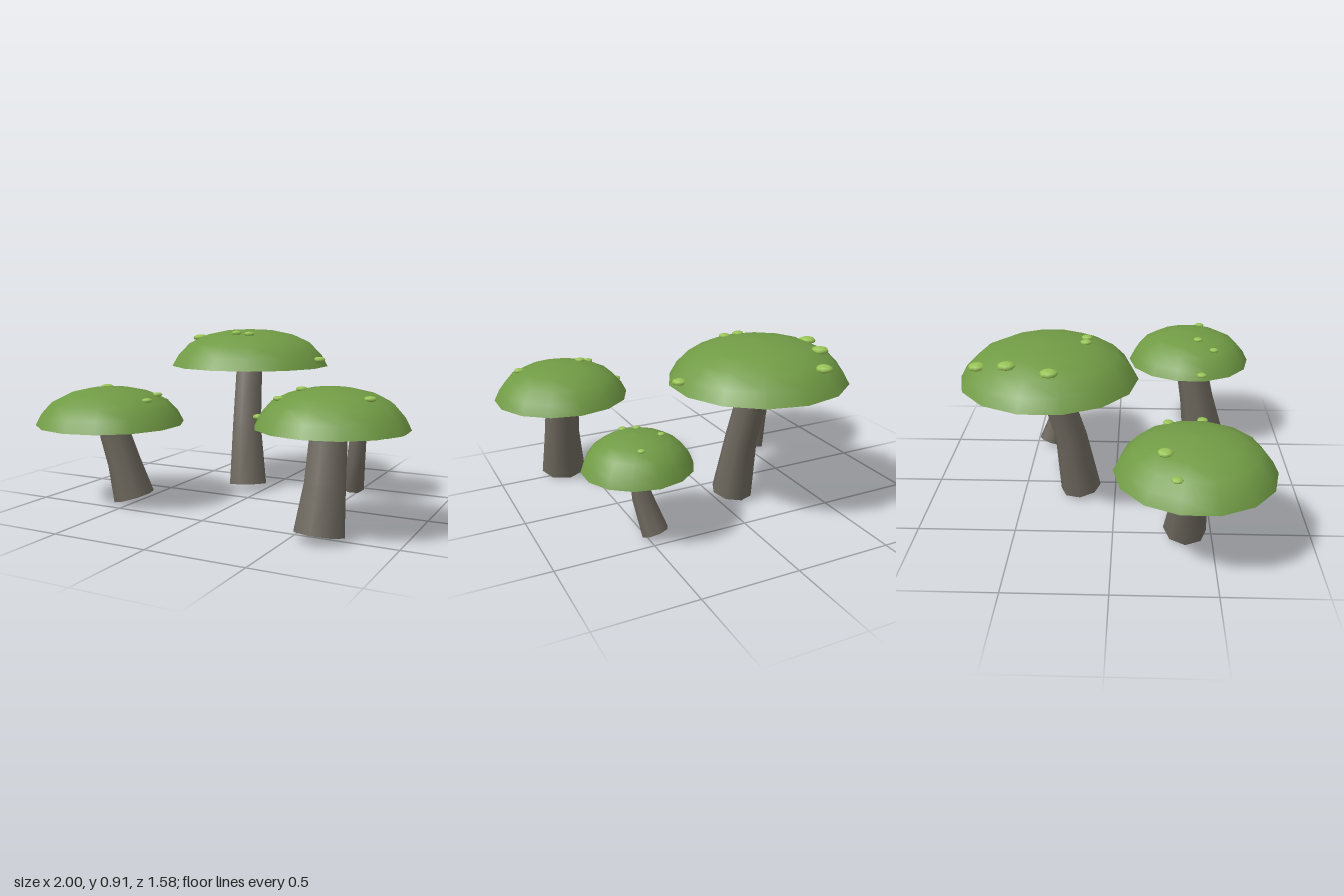
import * as THREE from 'three';

const mat = (name, color) => {
  const m = new THREE.MeshStandardMaterial({ color });
  m.name = name;
  return m;
};

// Cap outline as [radius, height] fractions, rim to crown
const PROFILE = [[1, 0], [0.92, 0.31], [0.78, 0.62], [0.56, 0.84], [0.29, 0.965], [0, 1]];
const CAP_SIDES = 14;

// Each mushroom: cap centre, radius, base and top; stem points [x, y, z, radius]; spots [x, z, radius]
const MUSHROOMS = [
  {
    name: 'tallMushroom', x: -0.155, z: -0.335, r: 0.457, y0: 0.705, y1: 0.912,
    stem: [[-0.095, 0.03, -0.19, 0.11], [-0.125, 0.36, -0.235, 0.085], [-0.157, 0.7, -0.33, 0.078]],
    spots: [[-0.315, -0.67, 0.045], [-0.4, -0.51, 0.045], [-0.47, -0.3, 0.045],
      [-0.145, -0.145, 0.03], [-0.065, -0.145, 0.03], [0.28, -0.33, 0.037]],
  },
  {
    name: 'leftLowMushroom', x: -0.62, z: 0.395, r: 0.39, y0: 0.43, y1: 0.622,
    stem: [[-0.502, 0.033, 0.365, 0.11], [-0.555, 0.22, 0.375, 0.088], [-0.615, 0.425, 0.395, 0.078]],
    spots: [[-0.91, 0.295, 0.027], [-0.755, 0.245, 0.038], [-0.405, 0.27, 0.027], [-0.355, 0.44, 0.028]],
  },
  {
    name: 'frontMushroom', x: 0.645, z: 0.425, r: 0.36, y0: 0.505, y1: 0.69,
    stem: [[0.632, 0.03, 0.53, 0.125], [0.64, 0.25, 0.487, 0.102], [0.638, 0.497, 0.44, 0.092]],
    spots: [[0.305, 0.485, 0.03], [0.515, 0.47, 0.028], [0.44, 0.56, 0.027], [0.85, 0.5, 0.029]],
  },
  {
    name: 'smallMushroom', x: 0.515, z: -0.35, r: 0.275, y0: 0.36, y1: 0.532,
    stem: [[0.46, 0.025, -0.417, 0.07], [0.5, 0.2, -0.358, 0.053], [0.515, 0.358, -0.348, 0.047]],
    spots: [[0.555, -0.5, 0.019], [0.4, -0.375, 0.019], [0.475, -0.245, 0.019], [0.535, -0.21, 0.021],
      [0.52, -0.155, 0.019], [0.565, -0.125, 0.021], [0.602, -0.11, 0.022]],
  },
];

// Height fraction of the cap surface at a radius fraction
function capHeight(f) {
  for (let i = 1; i < PROFILE.length; i++) {
    const [ra, ha] = PROFILE[i - 1], [rb, hb] = PROFILE[i];
    if (f >= rb) return ha + (hb - ha) * (ra - Math.min(f, ra)) / (ra - rb);
  }
  return 1;
}

// Cylinder whose three rings follow a bent line
function stemGeometry(rings) {
  const geo = new THREE.CylinderGeometry(1, 1, 2, 8, 2);
  const pts = rings.map(([x, y, z]) => new THREE.Vector3(x, y, z));
  const up = new THREE.Vector3(0, 1, 0);
  const turns = pts.map((_, i) => {
    const dir = pts[Math.min(i + 1, 2)].clone().sub(pts[Math.max(i - 1, 0)]).normalize();
    return new THREE.Quaternion().setFromUnitVectors(up, dir);
  });
  const pos = geo.attributes.position, nor = geo.attributes.normal;
  const v = new THREE.Vector3();
  for (let i = 0; i < pos.count; i++) {
    const k = Math.round(pos.getY(i)) + 1;
    v.set(pos.getX(i), 0, pos.getZ(i)).multiplyScalar(rings[k][3]).applyQuaternion(turns[k]).add(pts[k]);
    pos.setXYZ(i, v.x, v.y, v.z);
    v.fromBufferAttribute(nor, i).applyQuaternion(turns[k]);
    nor.setXYZ(i, v.x, v.y, v.z);
  }
  return geo;
}

export function createModel() {
  const capMat = mat('capGreen', 0x719b45);
  const spotMat = mat('spotLightGreen', 0x98c456);
  const stemMat = mat('stemGrey', 0x6f6a60);
  const spotGeo = new THREE.SphereGeometry(1, 8, 6);

  const model = new THREE.Group();
  model.name = 'mushroomCluster';

  for (const m of MUSHROOMS) {
    const group = new THREE.Group();
    group.name = m.name;
    const add = (name, geo, material) => {
      const mesh = new THREE.Mesh(geo, material);
      mesh.name = name;
      group.add(mesh);
      return mesh;
    };
    const height = m.y1 - m.y0;

    // Domed cap with a flat underside
    const dome = PROFILE.map(([r, h]) => new THREE.Vector2(r * m.r, h * height));
    add('cap', new THREE.LatheGeometry(dome, CAP_SIDES), capMat).position.set(m.x, m.y0, m.z);
    const under = new THREE.CircleGeometry(m.r, CAP_SIDES, Math.PI / 2).rotateX(Math.PI / 2);
    add('capUnderside', under, stemMat).position.set(m.x, m.y0, m.z);

    // Bent stem
    add('stem', stemGeometry(m.stem), stemMat);

    // Flattened spots resting on the cap
    for (const [x, z, r] of m.spots) {
      const y = m.y0 + height * capHeight(Math.hypot(x - m.x, z - m.z) / m.r);
      const spot = add('spot', spotGeo, spotMat);
      spot.position.set(x, y + r * 0.15, z);
      spot.scale.set(r, r * 0.42, r);
    }
    model.add(group);
  }
  return model;
}
